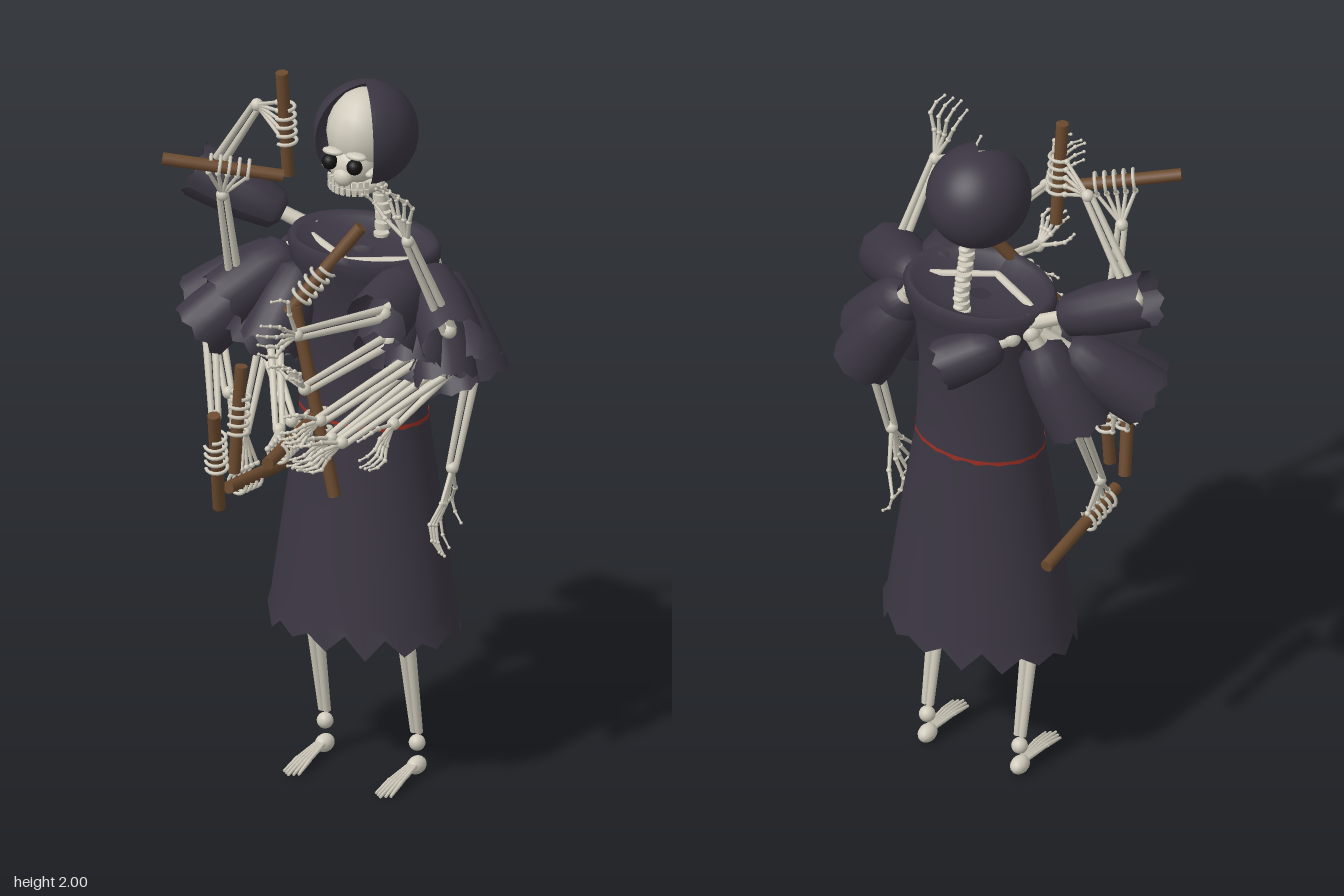
import * as THREE from 'three';

const BONE = new THREE.MeshStandardMaterial({ color: 0xcfcabb });
const CLOTH = new THREE.MeshStandardMaterial({ color: 0x3b3642, side: THREE.DoubleSide });
const WOOD = new THREE.MeshStandardMaterial({ color: 0x6b4a2e });
const RED = new THREE.MeshStandardMaterial({ color: 0x9a2f24, side: THREE.DoubleSide });
const BLACK = new THREE.MeshStandardMaterial({ color: 0x111111 });
const UP = new THREE.Vector3(0, 1, 0);
const V = (a) => new THREE.Vector3(...a);
const CX = 0.045;

function add(parent, name, geo, mat, pos = [0, 0, 0], scale = [1, 1, 1]) {
  const m = new THREE.Mesh(geo, mat);
  m.name = name;
  m.position.set(...pos);
  m.scale.set(...scale);
  parent.add(m);
  return m;
}

function group(parent, name) {
  const g = new THREE.Group();
  g.name = name;
  parent.add(g);
  return g;
}

const ball = (p, name, c, r, s, mat = BONE) => add(p, name, new THREE.SphereGeometry(r, 14, 10), mat, c, s);

// tapered rod between two points
function rod(parent, name, a, b, r0, r1 = r0, mat = BONE, sides = 8) {
  const d = b.clone().sub(a);
  const m = add(parent, name, new THREE.CylinderGeometry(r1, r0, d.length(), sides), mat);
  m.position.copy(a).addScaledVector(d, 0.5);
  m.quaternion.setFromUnitVectors(UP, d.normalize());
  return m;
}

// lathed cloth whose first profile ring is torn into points
function tornCloth(profile, segments, depth, seed) {
  const geo = new THREE.LatheGeometry(profile.map((p) => new THREE.Vector2(...p)), segments);
  const pos = geo.attributes.position;
  const n = profile.length;
  for (let i = 0; i <= segments; i++) {
    const k = i % segments;
    const lift = (k % 2) * depth + 0.25 * depth * Math.sin(k * 2.3 + seed);
    pos.setY(i * n, pos.getY(i * n) + lift);
  }
  geo.computeVertexNormals();
  return geo;
}

// open hand: palm bones and three-jointed, bent fingers
function openHand(parent, wrist, tip) {
  const hand = group(parent, 'openHand');
  const d = tip.clone().sub(wrist);
  const len = d.length();
  d.normalize();
  const side = new THREE.Vector3(1, 0, 0).cross(d);
  if (d.y > 0.75) side.set(1, 0, 0.3);
  if (d.y < -0.75) side.set(0.25, 0, 1);
  side.addScaledVector(d, -side.dot(d)).normalize();
  const curl = d.clone().cross(side);
  for (let i = 0; i < 5; i++) {
    const s = (i - 2) * 0.13 + (i === 0 ? -0.2 : 0);
    const reach = len * (i === 0 ? 0.75 : 1 - Math.abs(i - 2) * 0.06);
    let a = wrist.clone();
    [[0.42, 1, 0], [0.68, 1.25, 0.06], [0.87, 1.3, 0.0], [1, 1.2, -0.1]].forEach(([t, w, c], j) => {
      const b = wrist.clone().addScaledVector(d, reach * t)
        .addScaledVector(side, s * w * len * Math.min(1, t + 0.35)).addScaledVector(curl, c * len);
      rod(hand, 'fingerBone', a, b, 0.0065 - j * 0.001, 0.005 - j * 0.0008, BONE, 6);
      ball(hand, 'knuckle', b.toArray(), 0.0075 - j * 0.001);
      a = b;
    });
  }
}

// closed hand: fingers looped round a stick
function gripHand(parent, wrist, stick) {
  const hand = group(parent, 'grippingHand');
  const axis = stick.b.clone().sub(stick.a).normalize();
  const centre = stick.a.clone().lerp(stick.b, stick.t);
  const inward = wrist.clone().sub(centre);
  inward.addScaledVector(axis, -inward.dot(axis)).normalize();
  const basis = new THREE.Matrix4().makeBasis(inward, axis.clone().cross(inward), axis);
  for (let i = 0; i < 5; i++) {
    const c = centre.clone().addScaledVector(axis, (i - 2) * 0.025);
    const knuckle = c.clone().addScaledVector(inward, 0.03);
    rod(hand, 'palmBone', wrist, knuckle, 0.006, 0.005, BONE, 6);
    ball(hand, 'knuckle', knuckle.toArray(), 0.008);
    const loop = add(hand, 'finger', new THREE.TorusGeometry(0.028, 0.005, 6, 12, i ? 4.6 : 3.4), BONE);
    loop.quaternion.setFromRotationMatrix(basis);
    loop.position.copy(c);
  }
}

// arm: sleeve, upper arm, paired forearm bones, hand
function buildArm(parent, name, pts, stick, seed, fullness = 1) {
  const arm = group(parent, name);
  const [s, e, w, tip] = pts.map(V);
  ball(arm, 'shoulderJoint', s.toArray(), 0.025);
  rod(arm, 'upperArm', s, e, 0.021, 0.014);
  ball(arm, 'elbow', e.toArray(), 0.02);
  const d = e.clone().sub(s);
  const len = d.length() + 0.035;
  const start = Math.max(0.03, len - 0.25);
  const cuff = tornCloth([[0.084, len], [0.083, len * 0.85], [0.077, start + (len - start) * 0.4],
    [0.062, start + 0.02], [0.03, start]], 18, 0.012, seed);
  const sleeve = add(arm, 'sleeve', cuff, CLOTH, s.toArray(), [fullness, 1, fullness]);
  sleeve.quaternion.setFromUnitVectors(UP, d.normalize());
  const f = w.clone().sub(e).normalize();
  const across = new THREE.Vector3(0.6, 0.3, 0.7).cross(f).normalize();
  for (const k of [-1, 1]) {
    rod(arm, 'forearmBone', e.clone().addScaledVector(across, k * 0.012),
      w.clone().addScaledVector(across, k * 0.009), 0.011, 0.008);
  }
  ball(arm, 'wrist', w.toArray(), 0.017);
  if (stick) gripHand(arm, w, stick);
  else openHand(arm, w, tip);
}

function buildHead(root) {
  const head = group(root, 'head');
  ball(head, 'cranium', [0.04, 1.812, -0.222], 0.1, [0.98, 1.17, 1.08]);
  ball(head, 'face', [0.04, 1.745, -0.16], 0.06, [1.1, 0.9, 1]);
  ball(head, 'nose', [0.04, 1.725, -0.112], 0.026, [1.1, 1, 0.9]);
  ball(head, 'jaw', [0.04, 1.69, -0.185], 0.075, [1, 0.45, 1]);
  for (const k of [-1, 1]) {
    ball(head, 'eyeSocket', [0.04 + k * 0.037, 1.762, -0.105], 0.021, undefined, BLACK);
    ball(head, 'brow', [0.04 + k * 0.035, 1.787, -0.118], 0.025, [1.2, 0.4, 0.7]);
    ball(head, 'cheekbone', [0.04 + k * 0.065, 1.735, -0.155], 0.022, [0.8, 0.6, 1.4]);
    rod(head, 'jawHinge', V([0.04 + k * 0.07, 1.69, -0.175]), V([0.04 + k * 0.082, 1.77, -0.2]), 0.012);
  }
  for (let i = -4; i <= 4; i++) {
    const a = i * 0.22;
    for (const y of [1.683, 1.704]) {
      const tooth = add(head, 'tooth', new THREE.BoxGeometry(0.011, 0.018, 0.008), BONE,
        [0.04 + 0.072 * Math.sin(a), y, -0.185 + 0.077 * Math.cos(a)]);
      tooth.rotation.y = a;
    }
  }
  // hood with a face opening
  const gap = 0.7;
  add(head, 'hood', new THREE.SphereGeometry(0.135, 36, 24, Math.PI / 2 + gap, Math.PI * 2 - gap * 2, 0, 2.65),
    CLOTH, [0.043, 1.808, -0.222], [1, 1.03, 1.06]);
  // neck
  for (let i = 0; i < 8; i++) {
    const p = [0.043, 1.68 - i * 0.028, -0.295 + 0.015 * Math.cos(i * 0.6)];
    add(head, 'vertebra', new THREE.CylinderGeometry(0.021, 0.021, 0.018, 10), BONE, p);
    ball(head, 'vertebraSpur', [p[0], p[1], p[2] - 0.018], 0.01, [1.6, 0.8, 1.2]);
  }
}

function buildLeg(root, x, name) {
  const leg = group(root, name);
  rod(leg, 'thighBone', V([x, 1.0, -0.21]), V([x, 0.48, -0.185]), 0.024, 0.02);
  ball(leg, 'knee', [x, 0.47, -0.183], 0.03);
  for (const k of [-1, 1]) {
    rod(leg, 'shinBone', V([x + k * 0.012, 0.46, -0.185]), V([x + k * 0.007, 0.125, -0.248]), 0.015, 0.011);
  }
  ball(leg, 'ankle', [x, 0.093, -0.25], 0.022);
  ball(leg, 'heel', [x, 0.03, -0.248], 0.028, [0.85, 0.85, 1.15]);
  for (let i = -2; i <= 2; i++) {
    const mid = V([x + i * 0.009, 0.027, -0.14]);
    rod(leg, 'footBone', V([x + i * 0.005, 0.037, -0.225]), mid, 0.006, 0.005, BONE, 6);
    rod(leg, 'toe', mid, V([x + i * 0.011, 0.012, -0.06 - Math.abs(i) * 0.008]), 0.006, 0.004, BONE, 6);
  }
}

export function createModel() {
  const root = new THREE.Group();
  root.name = 'robedSkeleton';
  buildHead(root);
  buildLeg(root, 0.18, 'leftLeg');
  buildLeg(root, -0.095, 'rightLeg');

  // robe with torn hem and sunken neckline, and its belt
  add(root, 'robe', tornCloth([[0.267, 0.415], [0.256, 0.49], [0.22, 0.75], [0.176, 1.04], [0.168, 1.25],
    [0.178, 1.38], [0.205, 1.46], [0.212, 1.5], [0.2, 1.52], [0.185, 1.505], [0.12, 1.485], [0.03, 1.48]], 30, 0.045, 0),
  CLOTH, [CX, 0, -0.21], [1, 1, 0.75]);
  add(root, 'belt', tornCloth([[0.1795, 1.028], [0.179, 1.042]], 36, 0.006, 2), RED, [CX, 0, -0.21], [1, 1, 0.75]);
  for (const k of [-1, 1]) {
    rod(root, 'collarbone', V([CX, 1.48, -0.12]), V([CX + k * 0.18, 1.485, -0.22]), 0.012);
  }

  // sticks: start, end, grip position along the length
  const sticks = [
    [[-0.12, 2.0, -0.07], [-0.118, 1.7, -0.1], 0.5], [[-0.355, 1.785, 0.14], [-0.08, 1.74, -0.01], 0.55],
    [[0.1, 1.6, -0.1], [-0.06, 1.36, 0.0], 0.65], [[0.03, 1.09, 0.03], [0.07, 1.09, 0.33], 0.6],
    [[-0.19, 1.1, 0.16], [-0.22, 0.8, 0.08], 0.4], [[-0.04, 1.38, 0.0], [0.09, 0.88, 0.02], 0.65],
    [[-0.225, 0.78, -0.34], [-0.24, 0.82, 0.0], 0.72], [[-0.195, 1.18, 0.01], [-0.21, 0.88, 0.02], 0.45],
  ].map(([a, b, t]) => ({ a: V(a), b: V(b), t }));
  sticks.forEach((s) => rod(root, 'stick', s.a, s.b, 0.017, 0.017, WOOD, 10));

  // arms: shoulder, elbow, wrist, held stick, sleeve fullness
  const rightArms = [
    [[-0.13, 1.48, -0.26], [-0.4, 1.6, -0.18], [-0.235, 1.855, -0.14], 0, 0.88],
    [[-0.14, 1.46, -0.2], [-0.25, 1.35, -0.06], [-0.245, 1.66, 0.02], 1],
    [[-0.1, 1.45, -0.3], [0.02, 1.385, -0.38], [-0.02, 1.41, -0.13], 2, 0.82],
    [[-0.1, 1.45, -0.17], [-0.13, 1.27, -0.05], [0.0, 1.1, 0.15], 3],
    [[-0.15, 1.46, -0.22], [-0.33, 1.25, -0.06], [-0.25, 1.04, 0.05], 4],
    [[-0.08, 1.44, -0.16], [-0.18, 1.25, -0.07], [-0.01, 1.09, 0.07], 5],
    [[-0.14, 1.46, -0.27], [-0.26, 1.24, -0.26], [-0.26, 0.93, -0.12], 6],
    [[-0.14, 1.46, -0.25], [-0.37, 1.28, -0.14], [-0.25, 1.08, -0.02], 7],
  ];
  rightArms.forEach(([s, e, w, k, full], i) => buildArm(root, 'rightArm', [s, e, w], sticks[k], i * 1.7, full));

  // arms: shoulder, elbow, wrist, fingertip
  const leftArms = [
    [[0.22, 1.47, -0.22], [0.38, 1.38, -0.07], [0.315, 1.66, 0.03], [0.275, 1.83, 0.07]],
    [[0.22, 1.46, -0.26], [0.35, 1.21, -0.25], [0.32, 0.93, -0.19], [0.3, 0.7, -0.14]],
    [[0.21, 1.46, -0.2], [0.225, 1.42, 0.0], [0.14, 1.46, 0.3], [0.125, 1.51, 0.45]],
    [[0.2, 1.45, -0.19], [0.23, 1.34, -0.02], [0.14, 1.29, 0.26], [0.1, 1.38, 0.32]],
    [[0.22, 1.46, -0.22], [0.29, 1.29, -0.06], [0.14, 1.17, 0.18], [0.08, 1.13, 0.27]],
    [[0.22, 1.45, -0.24], [0.35, 1.25, -0.1], [0.17, 1.09, 0.12], [0.08, 1.02, 0.2]],
    [[0.2, 1.44, -0.22], [0.27, 1.24, -0.13], [0.11, 1.07, 0.07], [0.04, 1.0, 0.16]],
    [[0.22, 1.46, -0.26], [0.36, 1.27, -0.2], [0.26, 1.12, 0.01], [0.24, 1.03, 0.12]],
  ];
  leftArms.forEach((p, i) => buildArm(root, 'leftArm', p, null, i * 2.1 + 1));
  return root;
}
